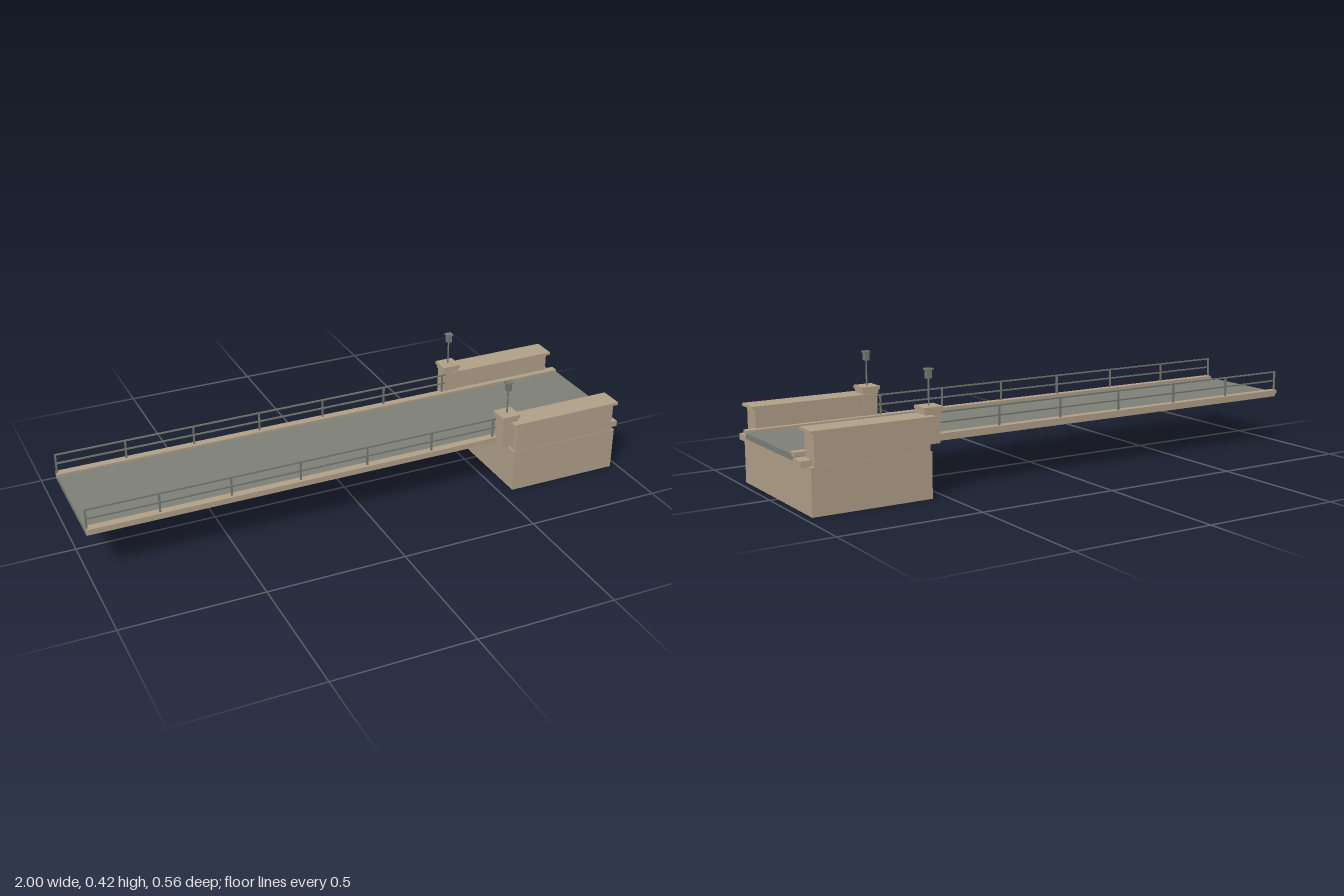
import * as THREE from 'three';

export function createModel() {
  const root = new THREE.Group();
  root.name = 'bridgeEnd';

  const mat = (name, color) => {
    const m = new THREE.MeshStandardMaterial({ color });
    m.name = name;
    return m;
  };
  const stone = mat('tanStone', 0xb09f88);
  const road = mat('greyRoad', 0x7d7e76);
  const metal = mat('greyMetal', 0x747871);

  // Box given by its extents on each axis
  function box(parent, name, material, [x0, x1], [y0, y1], [z0, z1]) {
    const mesh = new THREE.Mesh(new THREE.BoxGeometry(x1 - x0, y1 - y0, z1 - z0), material);
    mesh.position.set((x0 + x1) / 2, (y0 + y1) / 2, (z0 + z1) / 2);
    mesh.name = name;
    parent.add(mesh);
    return mesh;
  }
  // Square block around a vertical axis
  const block = (parent, name, material, x, z, half, y) =>
    box(parent, name, material, [x - half, x + half], y, [z - half, z + half]);

  // Road deck, abutment and the bearing ledge behind it
  box(root, 'deck', road, [-1, 1], [0.169, 0.189], [-0.19, 0.19]);
  box(root, 'abutment', stone, [0.55, 0.973], [0, 0.157], [-0.27, 0.27]);
  box(root, 'bearingLedge', stone, [0.56, 0.998], [0.156, 0.177], [-0.25, 0.25]);

  // Everything along one edge of the road; side is +1 (front) or -1 (back)
  function buildSide(side) {
    const g = new THREE.Group();
    g.name = side > 0 ? 'frontSide' : 'backSide';
    const zs = (a, b) => (side > 0 ? [a, b] : [-b, -a]);

    // Curb and edge beam
    box(g, 'curb', stone, [-1, 1], [0.183, 0.197], zs(0.179, 0.208));
    box(g, 'edgeBeam', stone, [-1, 0.55], [0.172, 0.183], zs(0.189, 0.201));

    // Parapet wall with coping
    box(g, 'parapet', stone, [0.555, 0.96], [0.157, 0.263], zs(0.199, 0.2685));
    box(g, 'coping', stone, [0.54, 0.973], [0.263, 0.273], zs(0.19, 0.279));

    // Pillar with stepped cap
    const px = 0.535, pz = 0.2235 * side;
    block(g, 'pillar', stone, px, pz, 0.027, [0.176, 0.274]);
    block(g, 'pillarNeck', stone, px, pz, 0.0305, [0.274, 0.287]);
    block(g, 'pillarCap', stone, px, pz, 0.0345, [0.287, 0.299]);

    // Lamp
    const lamp = new THREE.Group();
    lamp.name = 'lamp';
    g.add(lamp);
    const pole = new THREE.Mesh(new THREE.CylinderGeometry(0.003, 0.003, 0.09, 8), metal);
    pole.position.set(px, 0.344, pz);
    pole.name = 'lampPole';
    lamp.add(pole);
    block(lamp, 'lantern', metal, px, pz, 0.0088, [0.388, 0.415]);
    block(lamp, 'lanternCap', metal, px, pz, 0.0122, [0.415, 0.421]);

    // Railing: posts at even spacing and two rails
    const railing = new THREE.Group();
    railing.name = 'railing';
    g.add(railing);
    const rz = 0.195, r = 0.003;
    for (let i = 0; i <= 6; i++) {
      const x = Math.min(Math.max(-1 + i * 0.25, -1 + r), 0.5 - r);
      box(railing, 'railPost', metal, [x - r, x + r], [0.196, 0.268], zs(rz - r, rz + r));
    }
    for (const y of [0.232, 0.266])
      box(railing, 'rail', metal, [-1, 0.51], [y - 0.0025, y + 0.0025], zs(rz - 0.0025, rz + 0.0025));
    root.add(g);
  }
  buildSide(1);
  buildSide(-1);

  return root;
}
